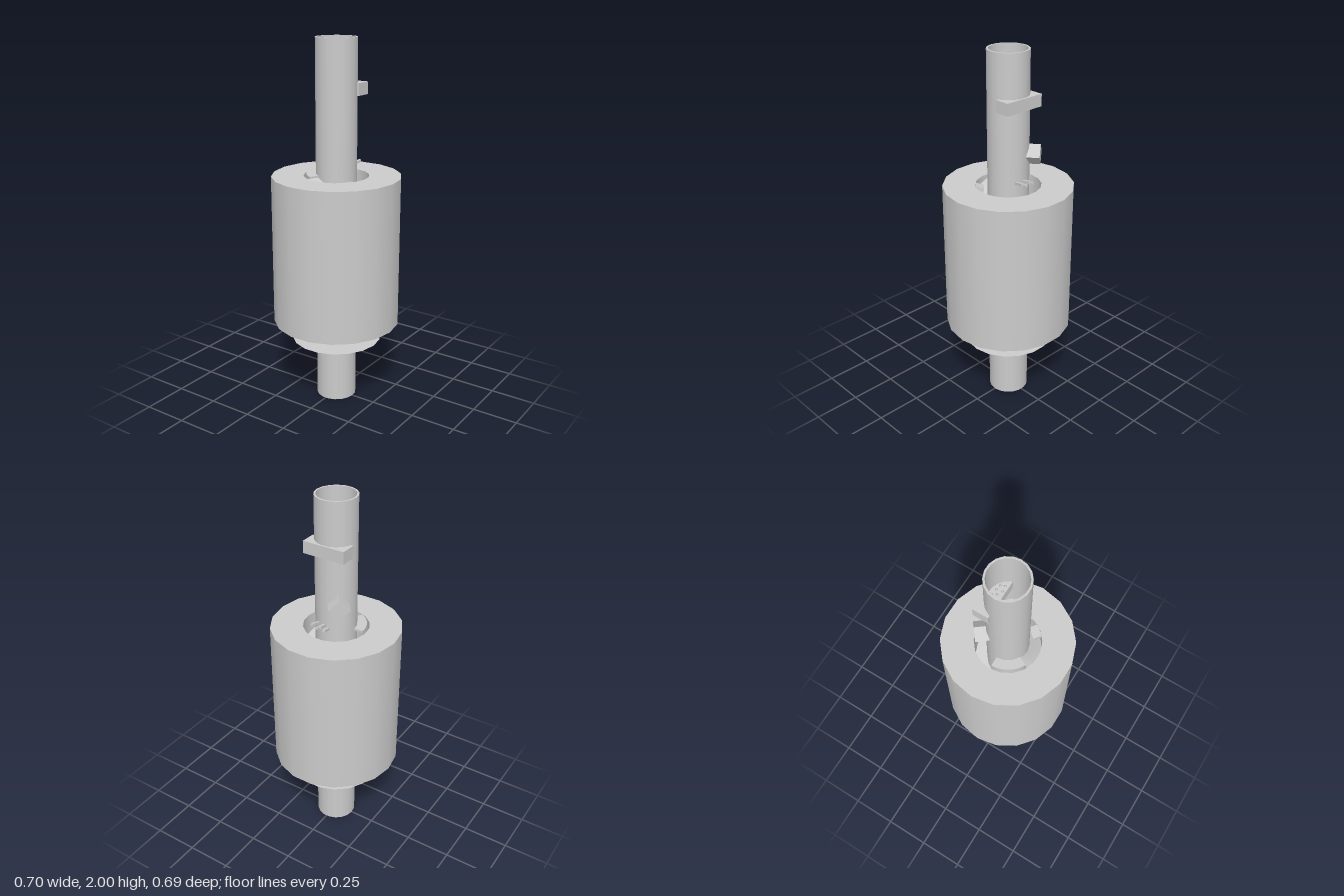
import * as THREE from 'three';

const SIDES = 18;

export function createModel() {
  const model = new THREE.Group();
  const mat = new THREE.MeshStandardMaterial({ color: 0xcccccc });
  const thin = new THREE.MeshStandardMaterial({ color: 0xcccccc, side: THREE.DoubleSide });

  const add = (name, geometry, x = 0, y = 0, z = 0, material = mat) => {
    const mesh = new THREE.Mesh(geometry, material);
    mesh.name = name;
    mesh.position.set(x, y, z);
    model.add(mesh);
    return mesh;
  };

  // Hollow round pipe: smooth walls, flat ring ends
  const addPipe = (name, outer, inner, y0, y1) => {
    const h = y1 - y0, mid = (y0 + y1) / 2;
    // quarter turn puts a polygon corner on +x
    const wall = (r) => new THREE.CylinderGeometry(r, r, h, SIDES, 1, true).rotateY(Math.PI / 2);
    add(name + 'OuterWall', wall(outer), 0, mid, 0);
    add(name + 'InnerWall', wall(inner).scale(1, 1, 1), 0, mid, 0, thin);
    const ring = () => new THREE.RingGeometry(inner, outer, SIDES);
    add(name + 'TopRim', ring().rotateX(-Math.PI / 2), 0, y1, 0);
    add(name + 'BottomRim', ring().rotateX(Math.PI / 2), 0, y0, 0);
  };

  addPipe('body', 0.348, 0.175, 0.455, 1.28);
  addPipe('upperPipe', 0.11, 0.1, 1.0, 2);
  addPipe('lowerPipe', 0.11, 0.1, 0, 0.35);

  // Thin flange on the lower pipe
  add('flange', new THREE.RingGeometry(0.1, 0.247, SIDES).rotateX(-Math.PI / 2), 0, 0.349, 0, thin);

  // Cross bar set into the back of the upper pipe
  add('crossBar', new THREE.BoxGeometry(0.236, 0.065, 0.086), 0, 1.738, -0.075);

  // Diamond-turned block on the back of the upper pipe
  const block = add('diamondBlock', new THREE.BoxGeometry(0.078, 0.078, 0.07).rotateZ(Math.PI / 4),
    -0.083, 1.455, -0.103);
  block.rotation.y = Math.atan2(-0.62, -0.78);

  // Row of short prongs behind the upper pipe, in two heights
  [-0.022, 0, 0.02, 0.045].forEach((x, i) => {
    const prong = add('prong' + (i + 1), new THREE.BoxGeometry(0.014, 0.013, 0.06), x, 1.318 + (i % 2) * 0.014, -0.125);
    prong.rotation.set(0.2, -x * 3, 0);
  });

  // Flat landing, then a ramp winding down between pipe and body
  const landing = new THREE.Shape();
  const a0 = Math.PI, a1 = Math.PI * 1.36;
  landing.absarc(0, 0, 0.16, a0, a1, false);
  landing.absarc(0, 0, 0.105, a1, a0, true);
  add('rampLanding',
    new THREE.ExtrudeGeometry(landing, { depth: 0.012, bevelEnabled: false, curveSegments: 5 }).rotateX(-Math.PI / 2),
    0, 1.278, 0);

  const steps = 24;
  const ramp = new THREE.PlaneGeometry(1, 1, steps, 1);
  const p = ramp.attributes.position;
  for (let i = 0; i < p.count; i++) {
    const t = p.getX(i) + 0.5;
    const r = p.getY(i) > 0 ? 0.172 : 0.105;
    const a = Math.PI * (0.64 - 1.7 * t);
    p.setXYZ(i, r * Math.cos(a), 1.28 - 0.28 * t, r * Math.sin(a));
  }
  ramp.computeVertexNormals();
  add('ramp', ramp, 0, 0, 0, thin);

  // Tilted wedge just breaking the rim
  const wedge = add('rimWedge', new THREE.BoxGeometry(0.045, 0.03, 0.065), 0.122, 1.262, 0.095);
  wedge.rotation.set(0.1, -0.7, 0.35);

  // Small plates inside the upper pipe, leaving a gap between them
  const addPlate = (name, x, z, radius, y) =>
    add(name, new THREE.CylinderGeometry(radius, radius, 0.015, 12), x, y, z);
  addPlate('rightPlate', 0.038, -0.006, 0.052, 1.6);
  addPlate('leftPlate', -0.05, 0.038, 0.042, 1.45);
  addPlate('frontPlate', 0.032, 0.05, 0.044, 1.3);

  // Five-sided pegs standing on the bar and plates
  const pegGeometry = new THREE.ConeGeometry(0.009, 0.016, 5).toNonIndexed();
  pegGeometry.computeVertexNormals();
  const pegRows = [
    { y: 1.778, at: [[-0.072, -0.058], [-0.037, -0.074], [-0.01, -0.083], [0.02, -0.073], [0.047, -0.068],
      [-0.052, -0.045], [-0.024, -0.049], [0, -0.058], [0.027, -0.045], [0.055, -0.05]] },
    { y: 1.615, at: [[0.004, -0.018], [0.027, -0.012], [0.06, -0.012], [0.018, 0.014], [0.048, 0.015]] },
    { y: 1.465, at: [[-0.073, 0.014], [-0.038, 0.028], [-0.068, 0.047], [-0.042, 0.069]] },
  ];
  for (const { y, at } of pegRows) for (const [x, z] of at) add('peg', pegGeometry, x, y, z);

  return model;
}
